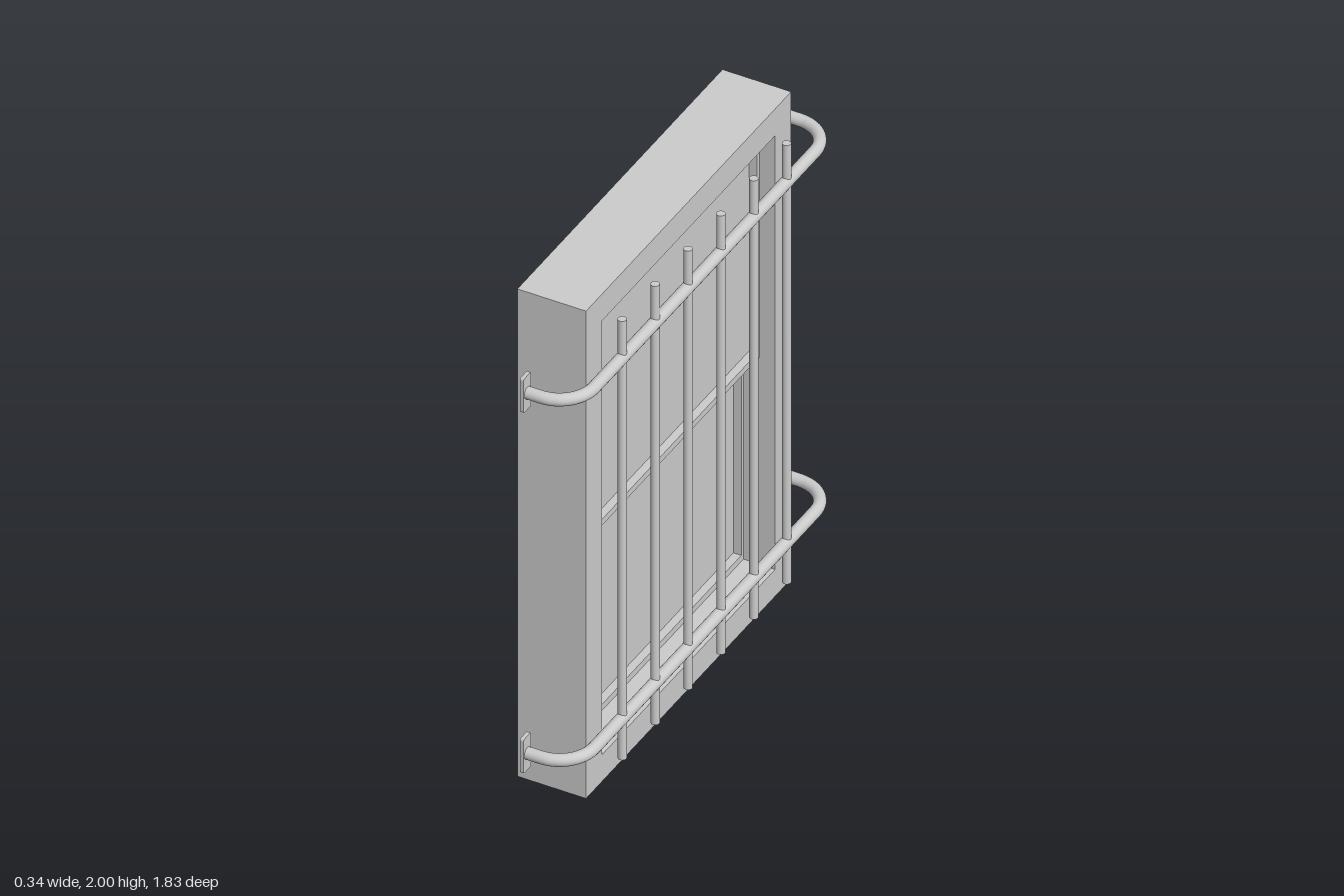
import * as THREE from 'three';

const grey = new THREE.MeshStandardMaterial({ color: 0xcccccc });

function add(parent, name, geometry) {
  const mesh = new THREE.Mesh(geometry, grey);
  mesh.name = name;
  parent.add(mesh);
  return mesh;
}

// Box given by its limits on each axis
function box(x0, x1, y0, y1, z0, z1) {
  return new THREE.BoxGeometry(x1 - x0, y1 - y0, z1 - z0)
    .translate((x0 + x1) / 2, (y0 + y1) / 2, (z0 + z1) / 2);
}

function rectangle(PathType, halfWidth, y0, y1) {
  return new PathType([[-halfWidth, y0], [halfWidth, y0], [halfWidth, y1], [-halfWidth, y1]]
    .map(([x, y]) => new THREE.Vector2(x, y)));
}

// Extrude a shape drawn in the z-y plane along x, from x0 to x1
function extrudeX(shape, x0, x1) {
  return new THREE.ExtrudeGeometry(shape, { depth: x1 - x0, bevelEnabled: false, curveSegments: 5 })
    .rotateY(Math.PI / 2).translate(x0, 0, 0);
}

// Rectangular frame facing +x: outer and inner limits as [halfWidth, y0, y1]
function frame(outer, inner, x0, x1) {
  const shape = rectangle(THREE.Shape, ...outer);
  shape.holes.push(rectangle(THREE.Path, ...inner));
  return extrudeX(shape, x0, x1);
}

// Window sash: thin frame around a recessed pane
function sash(name, y0, y1, front, pane, back) {
  const group = new THREE.Group();
  group.name = name;
  const edge = 0.025, inner = 0.58;
  add(group, 'sashFrame', frame([0.595, y0, y1], [inner, y0 + edge, y1 - edge], back, front));
  add(group, 'pane', box(back, pane, y0 + edge, y1 - edge, -inner, inner));
  return group;
}

// Horizontal rail that turns back toward the wall at both ends
function railPath(x, endX, halfLength, bend) {
  const path = new THREE.CurvePath();
  const v = (px, pz) => new THREE.Vector3(px, 0, pz);
  const corner = (s) => {
    const pts = [];
    for (let i = 0; i <= 12; i++) {
      const a = (i / 12) * Math.PI / 2;
      pts.push(v(x - bend + bend * Math.sin(a), s * (halfLength - bend + bend * Math.cos(a))));
    }
    return pts;
  };
  const points = [v(endX, halfLength), ...corner(1), ...corner(-1).reverse(), v(endX, -halfLength)];
  for (let i = 1; i < points.length; i++) path.add(new THREE.LineCurve3(points[i - 1], points[i]));
  return path;
}

function plateShape(w, h, r) {
  const s = new THREE.Shape();
  s.absarc(w - r, h - r, r, 0, Math.PI / 2);
  s.absarc(-w + r, h - r, r, Math.PI / 2, Math.PI);
  s.absarc(-w + r, -h + r, r, Math.PI, Math.PI * 1.5);
  s.absarc(w - r, -h + r, r, Math.PI * 1.5, Math.PI * 2);
  s.closePath();
  return s;
}

export function createModel() {
  const model = new THREE.Group();
  model.name = 'barredWindow';

  // Wall block with the window recess, closed at the back
  const wall = new THREE.Group();
  wall.name = 'wall';
  model.add(wall);
  add(wall, 'wallSurround', frame([0.705, 0, 2], [0.595, 0.11, 1.89], -0.175, 0.085));
  add(wall, 'wallBacking', box(-0.175, -0.09, 0.11, 1.89, -0.595, 0.595));

  // Upper sash sits in front of the lower one
  model.add(sash('upperSash', 0.96, 1.89, 0.025, -0.005, -0.09));
  model.add(sash('lowerSash', 0.11, 0.96, -0.035, -0.065, -0.09));

  // Security grille
  const grille = new THREE.Group();
  grille.name = 'grille';
  model.add(grille);
  const barX = 0.145, railEnd = -0.037, railZ = 0.89;

  for (const z of [-0.565, -0.339, -0.113, 0.113, 0.339, 0.565]) {
    add(grille, 'verticalBar', new THREE.CylinderGeometry(0.0155, 0.0155, 1.8, 20))
      .position.set(barX, 1, z);
  }

  const path = railPath(barX, railEnd, railZ, 0.13);
  for (const y of [0.263, 1.742]) {
    add(grille, 'rail', new THREE.TubeGeometry(path, 160, 0.0225, 20)).position.y = y;
    for (const side of [-1, 1]) {
      add(grille, 'mountingPlate', extrudeX(plateShape(0.026, 0.07, 0.008), -0.049, -0.035))
        .position.set(0, y, side * railZ);
    }
  }

  return model;
}
